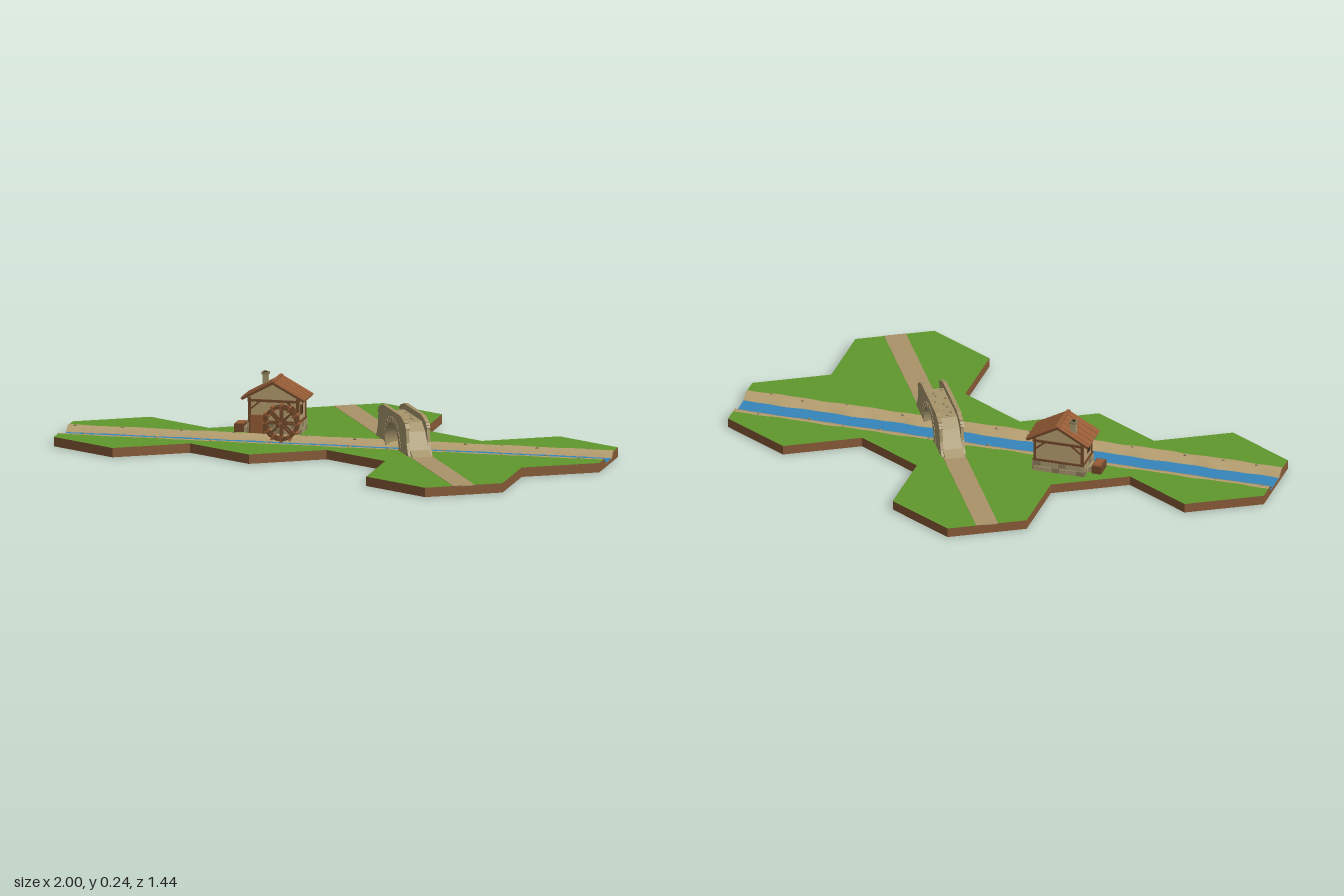
import * as THREE from 'three';

const mat = (name, color) => {
  const m = new THREE.MeshStandardMaterial({ color });
  m.name = name;
  return m;
};

export function createModel() {
  const grass = mat('grass', 0x5f982c), dirt = mat('dirt', 0x875a37), sand = mat('sand', 0xb59d6f);
  const water = mat('water', 0x3586ba), path = mat('path', 0xaa9369), stone = mat('stone', 0xa6966c);
  const wood = mat('wood', 0x72492b), roofing = mat('roof', 0x965c36), dark = mat('dark', 0x3a2a1e);
  const shade = mat('dark stone', 0x8b7b58);
  sand.side = water.side = THREE.DoubleSide;
  const model = new THREE.Group();

  const group = (name, parent = model) => {
    const g = new THREE.Group();
    g.name = name;
    parent.add(g);
    return g;
  };
  const add = (parent, name, geo, m, x = 0, y = 0, z = 0) => {
    const o = new THREE.Mesh(geo, m);
    o.name = name;
    o.position.set(x, y, z);
    parent.add(o);
    return o;
  };
  const box = (parent, name, m, w, h, d, x, y, z) => add(parent, name, new THREE.BoxGeometry(w, h, d), m, x, y, z);
  const shapeOf = pts => new THREE.Shape(pts.map(p => new THREE.Vector2(...p)));
  // Extrudes an (x, y) outline, centred in z
  const slab = (shape, depth) => new THREE.ExtrudeGeometry(shape, { depth, bevelEnabled: false, curveSegments: 12 }).translate(0, 0, -depth / 2);
  // Bar between two points of an (x, y) plane
  const bar = (parent, name, m, a, b, t, d, z) => {
    const o = box(parent, name, m, Math.hypot(b[0] - a[0], b[1] - a[1]), t, d, (a[0] + b[0]) / 2, (a[1] + b[1]) / 2, z);
    o.rotation.z = Math.atan2(b[1] - a[1], b[0] - a[0]);
    return o;
  };

  // Hexagonal land on both sides of the river
  const TOP = 0.035;
  const north = [[-1, -0.144], [-0.75, -0.289], [-0.5, -0.144], [-0.25, -0.289], [-0.25, -0.577], [0, -0.722],
    [0.25, -0.577], [0.25, -0.289], [0.5, -0.144], [0.75, -0.289], [1, -0.144]];
  const south = [[1, 0.144], [0.75, 0.289], [0.75, 0.577], [0.5, 0.722], [0.25, 0.577], [0.25, 0.289],
    [0, 0.144], [-0.25, 0.289], [-0.5, 0.144], [-0.75, 0.289], [-1, 0.144]];
  const land = group('land');
  for (const [name, pts] of [['northLand', [...north, [1, -0.077], [-1, -0.077]]], ['southLand', [...south, [-1, 0.077], [1, 0.077]]]]) {
    const geo = new THREE.ExtrudeGeometry(shapeOf(pts), { depth: TOP - 0.001, bevelEnabled: false });
    add(land, name, geo.rotateX(Math.PI / 2), [grass, dirt], 0, TOP, 0);
  }
  add(land, 'underside', new THREE.ShapeGeometry(shapeOf([...north, ...south])).rotateX(Math.PI / 2), dirt);
  const bed = slab(shapeOf([[-0.08, 0.001], [0.08, 0.001], [0.08, 0.033], [0.073, 0.033], [0.055, 0.011],
    [-0.055, 0.011], [-0.073, 0.033], [-0.08, 0.033]]), 2).rotateY(Math.PI / 2);
  add(land, 'riverBed', bed, dirt);

  // River and wavy banks
  const river = group('river');
  add(river, 'water', new THREE.PlaneGeometry(2, 0.112).rotateX(-Math.PI / 2), water, 0, 0.0155, 0);
  for (const s of [-1, 1]) {
    const geo = new THREE.PlaneGeometry(2, 1, 64, 3), p = geo.attributes.position;
    const rows = [[0.086, 0.0355], [0.077, 0.037], [0.063, 0.033], [s < 0 ? 0.046 : 0.037, 0.0135]];
    for (let i = 0; i < p.count; i++) {
      const x = p.getX(i), k = Math.round((0.5 - p.getY(i)) * 3), [z, y] = rows[k];
      const wave = 0.0025 * Math.sin(x * 23 + s + k) + 0.002 * Math.sin(x * 51 + k * 2);
      p.setXYZ(i, x, y + (k % 3 ? wave * 0.2 : 0), s * (z + wave));
    }
    // Mirrored bank needs its faces turned to look up
    if (s > 0) geo.index.array.reverse();
    geo.computeVertexNormals();
    add(river, 'bank', geo, sand);
    for (let i = 0; i < 12; i++) {
      const o = add(river, 'pebble', new THREE.IcosahedronGeometry(0.005, 0), shade,
        -0.94 + i * 0.17 + 0.04 * Math.sin(i * 5 + s), 0.036, s * (0.072 + 0.008 * Math.sin(i * 3)));
      o.scale.set(1.5, 0.7, 1);
    }
  }

  // Road and bridge share one diagonal axis: local x runs along the road
  const road = group('road');
  road.position.x = 0.25;
  road.rotation.y = -Math.PI / 3;
  for (const s of [-1, 1]) box(road, 'path', path, 0.56, 0.004, 0.08, s * 0.47, TOP - 0.0008, 0);

  const bridge = group('bridge', road);
  const arch = sh => {
    sh.lineTo(0.085, 0.012);
    sh.lineTo(0.085, 0.035);
    sh.absarc(0, 0.035, 0.085, 0, Math.PI, false);
    sh.lineTo(-0.085, 0.012);
    return sh;
  };
  const body = shapeOf([[-0.16, 0.012], [-0.16, 0.1], [-0.11, 0.14], [0.11, 0.14], [0.16, 0.1], [0.16, 0.012]]);
  add(bridge, 'bridgeBody', slab(arch(body), 0.084), stone);
  // Sloped ends and walking surface
  const ramp = [[0.11, 0.142], [0.15, 0.114], [0.175, 0.08], [0.195, 0.055], [0.228, 0.036]];
  for (const s of [-1, 1]) {
    const pts = [...ramp, [0.228, 0.03], [0.11, 0.03]].map(([x, y]) => [s * x, y]);
    add(bridge, 'ramp', slab(shapeOf(pts), 0.07), stone);
  }
  box(bridge, 'deck', stone, 0.222, 0.004, 0.07, 0, 0.1405, 0);
  for (let i = 0; i < 10; i++) box(bridge, 'cobble', shade, 0.01, 0.003, 0.008, -0.1 + i * 0.022, 0.1425, 0.024 * Math.sin(i * 2.3));
  const rail = [[-0.18, 0.08], [-0.174, 0.128], [-0.16, 0.145], [-0.112, 0.161], [0.112, 0.161], [0.16, 0.145], [0.174, 0.128], [0.18, 0.08]];
  for (const z of [-0.039, 0.039]) {
    const wall = shapeOf([[-0.21, 0.03], [-0.193, 0.052], ...rail, [0.193, 0.052], [0.21, 0.03]]);
    add(bridge, 'parapet', slab(arch(wall), 0.011), stone, 0, 0, z);
    // Coping stones
    for (let i = 1; i < 6; i++) {
      const a = rail[i], b = rail[i + 1], n = i === 3 ? 7 : 2;
      const at = t => [a[0] + (b[0] - a[0]) * t, a[1] + (b[1] - a[1]) * t];
      for (let j = 0; j < n; j++) bar(bridge, 'copingStone', j % 2 ? stone : path, at((j + 0.03) / n), at((j + 0.97) / n), 0.009, 0.014, z);
    }
    // Arch stones
    for (let i = 0; i < 13; i++) {
      const a = (i + 0.5) / 13 * Math.PI;
      const o = box(bridge, 'archStone', i % 2 ? stone : path, 0.022, 0.021, 0.014, Math.cos(a) * 0.096, 0.035 + Math.sin(a) * 0.096, z);
      o.rotation.z = a;
    }
  }

  // Mill house, gables facing front and back
  const house = group('millHouse');
  house.position.set(-0.25, 0, -0.143);
  box(house, 'foundation', stone, 0.188, 0.05, 0.112, 0, 0.055, 0);
  add(house, 'walls', slab(shapeOf([[-0.09, 0.075], [0.09, 0.075], [0.09, 0.168], [0, 0.216], [-0.09, 0.168]]), 0.108), sand);
  for (const s of [-1, 1]) {
    // Foundation blocks
    for (let r = 0; r < 2; r++) {
      for (let i = 0; i < 6; i++) box(house, 'foundationBlock', (i + r) % 3 ? stone : shade, 0.028, 0.018, 0.008, -0.082 + i * 0.031 + r * 0.006, 0.046 + r * 0.021, s * 0.056);
      for (let i = 0; i < 4; i++) box(house, 'foundationBlock', (i + r) % 3 ? stone : shade, 0.008, 0.018, 0.025, s * 0.094, 0.046 + r * 0.021, -0.042 + i * 0.028);
    }
    // Timber frame
    box(house, 'gableBeam', wood, 0.19, 0.009, 0.008, 0, 0.155, s * 0.055);
    box(house, 'sillBeam', wood, 0.19, 0.008, 0.008, 0, 0.08, s * 0.055);
    box(house, 'sideSill', wood, 0.008, 0.008, 0.11, s * 0.091, 0.08, 0);
    box(house, 'sidePlate', wood, 0.008, 0.009, 0.11, s * 0.091, 0.16, 0);
    for (const x of [-1, 1]) {
      box(house, 'cornerPost', wood, 0.01, 0.09, 0.01, x * 0.088, 0.12, s * 0.052);
      bar(house, 'brace', wood, [x * 0.083, 0.125], [x * 0.05, 0.152], 0.006, 0.007, s * 0.055);
      bar(house, 'bargeBoard', wood, [x * 0.114, 0.16], [0, 0.222], 0.008, 0.005, s * 0.068);
    }
    // Roof planks running down the slope
    for (let i = 0; i < 9; i++) {
      const lift = i % 2 * 0.0012;
      bar(house, 'roofPlank', roofing, [s * (0.116 + lift), 0.161 + lift], [0, 0.2245 + lift], 0.007, 0.0153, (i - 4) * 0.0155);
    }
    box(house, 'windowFrame', wood, 0.008, 0.036, 0.032, s * 0.09, 0.122, 0.012);
    box(house, 'window', dark, 0.009, 0.026, 0.022, s * 0.0905, 0.122, 0.012);
  }
  box(house, 'ridge', roofing, 0.014, 0.007, 0.14, 0, 0.2265, 0);
  box(house, 'frontDoor', roofing, 0.046, 0.066, 0.008, -0.06, 0.07, 0.058);
  for (const x of [-0.086, -0.034]) box(house, 'doorPost', wood, 0.006, 0.07, 0.01, x, 0.07, 0.058);
  box(house, 'chimney', stone, 0.02, 0.075, 0.02, -0.05, 0.203, -0.033);
  box(house, 'chimneyCap', shade, 0.026, 0.008, 0.026, -0.05, 0.239, -0.033);
  box(house, 'chimneyHole', dark, 0.014, 0.004, 0.014, -0.05, 0.2425, -0.033);
  // Side crate with a pale lid
  box(house, 'crate', wood, 0.036, 0.03, 0.066, -0.13, 0.049, 0.014);
  box(house, 'crateLid', roofing, 0.026, 0.004, 0.054, -0.13, 0.0645, 0.014);
  box(house, 'doorStep', stone, 0.024, 0.02, 0.05, -0.104, 0.045, 0.014);

  // Water wheel
  const wheel = group('waterWheel');
  wheel.position.set(-0.21, 0.087, -0.04);
  add(wheel, 'axle', new THREE.CylinderGeometry(0.008, 0.008, 0.115, 8).rotateX(Math.PI / 2), wood, 0, 0, 0.003);
  const ring = new THREE.Shape().absarc(0, 0, 0.064, 0, Math.PI * 2);
  ring.holes.push(new THREE.Path().absarc(0, 0, 0.053, 0, Math.PI * 2, true));
  for (const z of [-0.014, 0.014]) {
    add(wheel, 'rim', slab(ring, 0.006), wood, 0, 0, z);
    for (let i = 0; i < 4; i++) box(wheel, 'spoke', wood, 0.11, 0.007, 0.005, 0, 0, z).rotation.z = i * Math.PI / 4;
  }
  for (let i = 0; i < 12; i++) {
    const a = i * Math.PI / 6;
    box(wheel, 'paddle', roofing, 0.022, 0.006, 0.036, Math.cos(a) * 0.059, Math.sin(a) * 0.059, 0).rotation.z = a;
  }
  return model;
}
